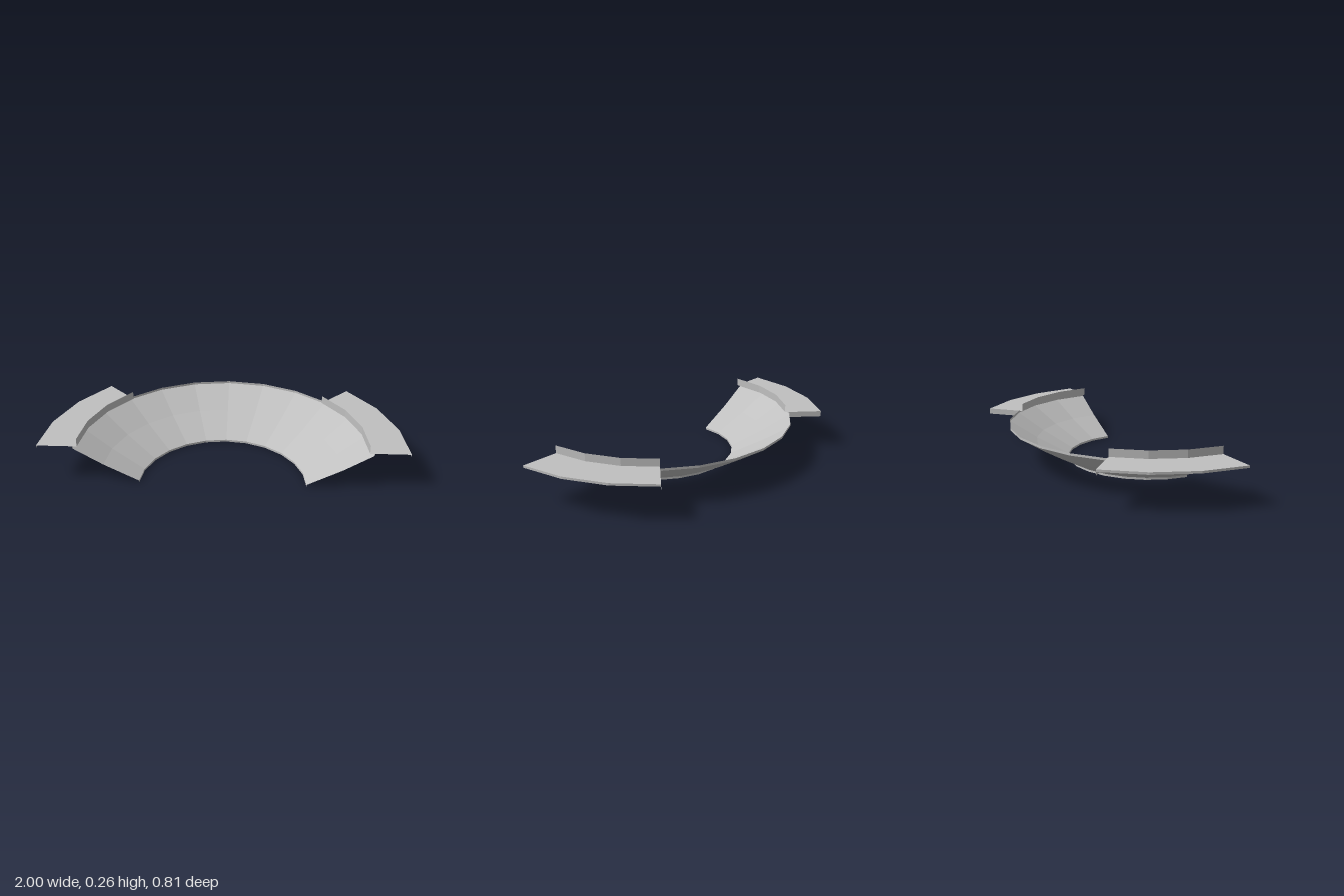
import * as THREE from 'three';

const STEP = Math.PI / 12; // every ring is cut into 15 degree facets

export function createModel() {
  const model = new THREE.Group();
  model.name = 'halfBowl';
  const grey = new THREE.MeshStandardMaterial({ color: 0xc0c0c0, side: THREE.DoubleSide, flatShading: true });
  grey.name = 'plainGrey';

  const add = (parent, name, geometry) => {
    const mesh = new THREE.Mesh(geometry, grey);
    mesh.name = name;
    parent.add(mesh);
    return mesh;
  };

  // Sweeps a [radius, height] profile through a run of facets
  const sweep = (profile, first, count) => new THREE.LatheGeometry(
    profile.map(([r, y]) => new THREE.Vector2(r, y)), count, first * STEP, count * STEP);

  // All rings share an axis on the front edge
  const rings = new THREE.Group();
  rings.name = 'rings';
  rings.position.z = 0.403;
  model.add(rings);

  // Half-round bowl with thin upright bands at the bottom and top
  add(rings, 'bottomBand', sweep([[0.455, 0], [0.455, 0.012]], 6, 12));
  add(rings, 'bowl', sweep([[0.455, 0.012], [0.645, 0.11], [0.805, 0.207]], 6, 12));
  add(rings, 'topBand', sweep([[0.805, 0.207], [0.805, 0.22]], 6, 12));

  // Side ledges: inner wall, flat ledge, outer lip and hanging end flap
  for (const [side, first, angle] of [['left', 6, Math.PI / 4], ['right', 15, Math.PI * 3 / 4]]) {
    const ledge = new THREE.Group();
    ledge.name = side + 'Ledge';
    rings.add(ledge);
    add(ledge, side + 'Wall', sweep([[0.78, 0.22], [0.78, 0.265]], first, 3));
    add(ledge, side + 'Flange', sweep([[1, 0.22], [0.78, 0.22]], first, 3));
    add(ledge, side + 'Lip', sweep([[1, 0.207], [1, 0.22]], first, 3));
    const flap = add(ledge, side + 'EndFlap', new THREE.PlaneGeometry(0.195, 0.033).translate(0.9025, 0.2035, 0));
    flap.rotation.y = angle;
  }
  return model;
}
